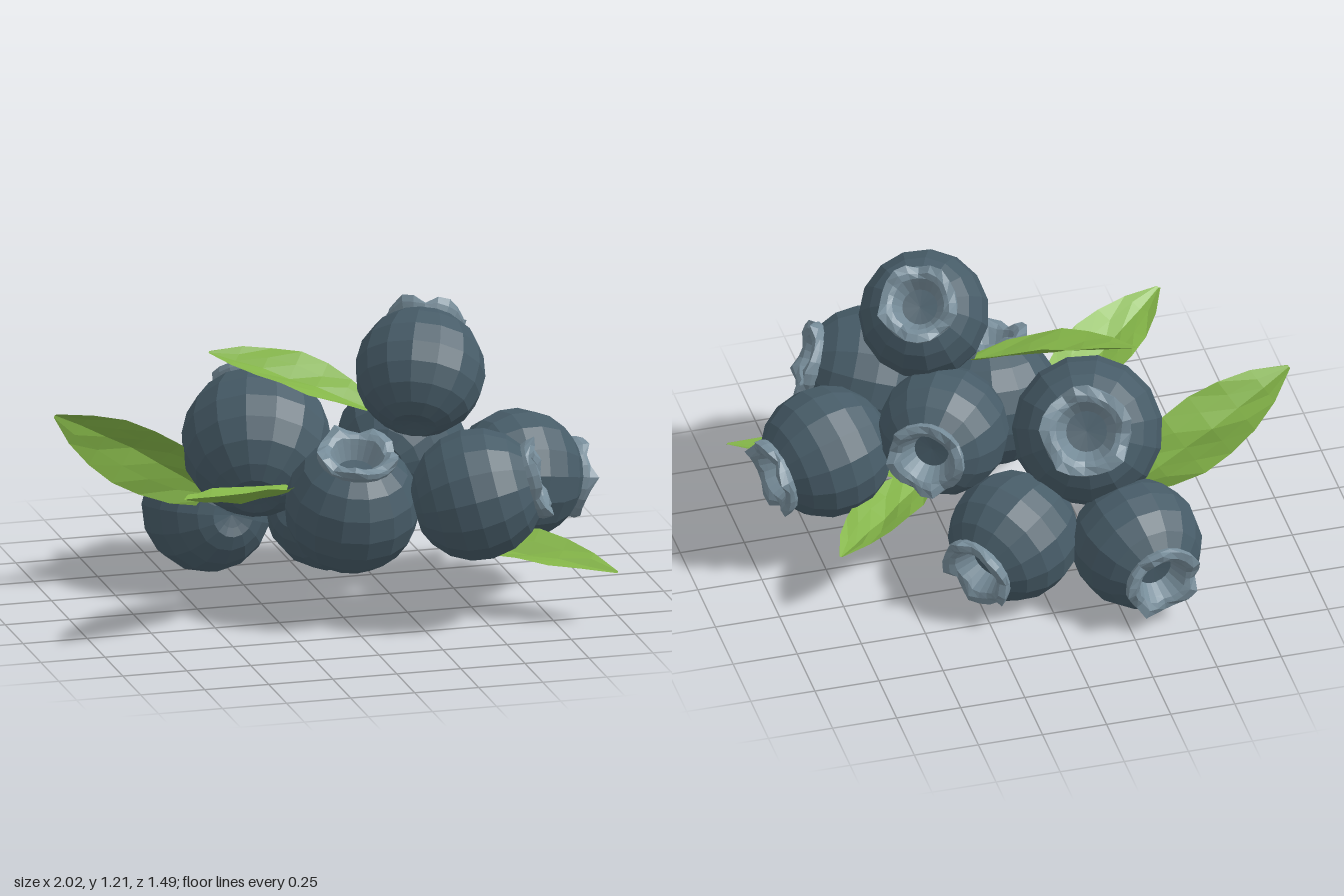
import * as THREE from 'three';

const skin = new THREE.MeshStandardMaterial({ color: 0x475c68, flatShading: true });
skin.name = 'berry skin';
const crown = new THREE.MeshStandardMaterial({ color: 0x768c99, flatShading: true, side: THREE.DoubleSide });
crown.name = 'berry crown';
const green = new THREE.MeshStandardMaterial({ color: 0x84b548, flatShading: true, side: THREE.DoubleSide });
green.name = 'leaf green';

const V = (a) => new THREE.Vector3(...a);
const profile = (pts) => pts.map(([r, y]) => new THREE.Vector2(r, y));

// Berry body along +y: faint dimple below, cup on top (radius 1)
const bodyGeometry = new THREE.LatheGeometry(profile([
  [0, -0.88], [0.2, -0.91], [0.34, -0.94], [0.56, -0.83], [0.8, -0.61], [0.95, -0.32], [1, 0],
  [0.94, 0.34], [0.77, 0.64], [0.56, 0.82], [0.42, 0.86], [0.3, 0.62], [0, 0.6],
]), 15);

// Crown ring with five ragged sepals round its rim
const crownProfile = profile([
  [0.56, 0.79], [0.6, 0.88], [0.6, 0.97], [0.48, 0.98], [0.4, 0.93], [0.36, 0.84], [0.27, 0.63],
]);
const raggedness = [0, 0.4, 1, 0.75, 0.35, 0, 0];
function crownGeometry(seed) {
  const g = new THREE.LatheGeometry(crownProfile, 20);
  const p = g.attributes.position;
  for (let i = 0; i < p.count; i++) {
    const j = i % crownProfile.length;
    const x = p.getX(i), z = p.getZ(i), a = Math.atan2(z, x);
    const wave = Math.cos(5 * a + seed) + 0.5 * Math.sin(8 * a + seed * 2.3 + j);
    const k = 1 + 0.05 * wave * raggedness[j];
    p.setXYZ(i, x * k, p.getY(i) + 0.055 * wave * raggedness[j], z * k);
  }
  return g;
}

function berry(center, radius, facing, seed) {
  const g = new THREE.Group();
  g.name = 'berry';
  const body = new THREE.Mesh(bodyGeometry, skin);
  body.name = 'berryBody';
  const top = new THREE.Mesh(crownGeometry(seed), crown);
  top.name = 'berryCrown';
  g.add(body, top);
  g.position.set(...center);
  g.scale.setScalar(radius);
  g.quaternion.setFromUnitVectors(new THREE.Vector3(0, 1, 0), V(facing).normalize());
  return g;
}

// Leaf: folded strip of cross-sections from base to tip, arched along its normal
const halfWidths = [0.35, 0.75, 0.98, 1, 0.86, 0.56, 0.06];
function leaf(base, tip, up, width, arch) {
  const a = V(base), axis = V(tip).sub(a);
  const side = axis.clone().cross(V(up)).normalize();
  const normal = side.clone().cross(axis).normalize();
  const rows = halfWidths.length, cols = 5, pos = [], idx = [];
  halfWidths.forEach((w, i) => {
    const t = i / (rows - 1);
    for (let c = 0; c < cols; c++) {
      const s = c / 2 - 1;
      const lift = arch * Math.sin(Math.PI * t) + 0.36 * width * w * (Math.abs(s) - 0.5)
        + 0.006 * Math.sin(i * 2.4 + c * 1.9) * w;
      const v = a.clone().addScaledVector(axis, t)
        .addScaledVector(side, s * w * width).addScaledVector(normal, lift);
      pos.push(v.x, v.y, v.z);
      if (i < rows - 1 && c < cols - 1) {
        const q = i * cols + c;
        idx.push(q, q + 1, q + cols, q + 1, q + cols + 1, q + cols);
      }
    }
  });
  const g = new THREE.BufferGeometry();
  g.setAttribute('position', new THREE.Float32BufferAttribute(pos, 3));
  g.setIndex(idx);
  g.computeVertexNormals();
  const m = new THREE.Mesh(g, green);
  m.name = 'leaf';
  return m;
}

export function createModel() {
  const model = new THREE.Group();
  model.name = 'berryCluster';

  // Berries: centre, radius, direction the crown faces
  [
    [[0.305, 0.94, 0.23], 0.247, [0.06, 0.15, -0.14]],
    [[0.455, 0.52, 0.495], 0.252, [0.22, 0.06, 0.055]],
    [[0.02, 0.455, 0.3], 0.256, [0, 0.21, 0.07]],
    [[0.72, 0.465, 0.11], 0.25, [0.22, -0.04, -0.05]],
    [[-0.33, 0.247, -0.48], 0.247, [-0.04, -0.03, -0.22]],
    [[0.11, 0.263, -0.33], 0.247, [0.18, -0.05, -0.13]],
    [[-0.22, 0.585, -0.18], 0.285, [0.06, 0.14, -0.2]],
    [[0.3, 0.58, -0.03], 0.247, [0.12, 0.02, -0.19]],
  ].forEach(([c, r, d], i) => model.add(berry(c, r, d, i * 1.7)));

  // Leaves: base, tip, upper-side direction, half width, arch
  [
    [[-0.37, 0.36, -0.26], [-1, 0.745, -0.2], [0, -0.45, 1], 0.14, -0.02],
    [[-0.16, 0.5, 0.16], [-0.71, 0.625, 0.59], [0, 1, -0.2], 0.13, -0.01],
    [[0.14, 0.78, 0.12], [-0.4, 0.945, -0.2], [0, 1, 0.3], 0.12, 0.03],
    [[0.4, 0.25, 0.16], [0.97, 0.205, 0.61], [0, 1, 0.3], 0.115, 0.03],
    [[0.34, 0.33, 0.05], [0.78, 0.285, -0.32], [0, 1, 0.1], 0.12, 0.01],
  ].forEach((l) => model.add(leaf(...l)));

  return model;
}
